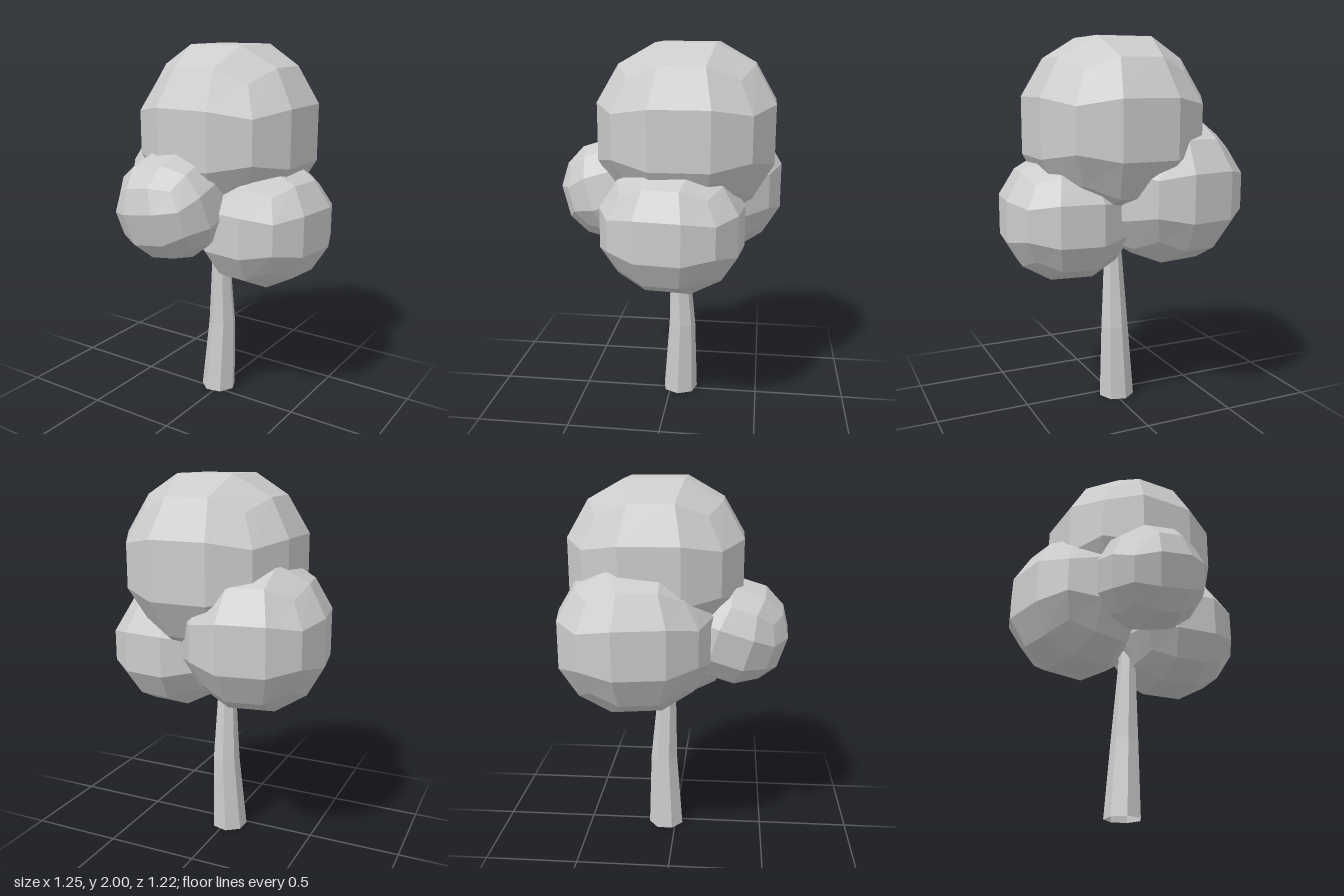
import * as THREE from 'three';

const material = () => new THREE.MeshStandardMaterial({ color: 0xcccccc, flatShading: true });

// Faceted foliage ball: a 3x3x3 box pushed out onto a sphere, then scaled and turned
function foliage(name, center, radii, rotation = [0, 0, 0]) {
  const geometry = new THREE.BoxGeometry(2, 2, 2, 3, 3, 3);
  const pos = geometry.attributes.position;
  const v = new THREE.Vector3();
  for (let i = 0; i < pos.count; i++) {
    v.fromBufferAttribute(pos, i);
    // the eight corners sit slightly lower so that their quads stay nearly flat
    v.setLength(v.length() > 1.7 ? 0.955 : 1);
    pos.setXYZ(i, v.x, v.y, v.z);
  }
  geometry.computeVertexNormals();
  const mesh = new THREE.Mesh(geometry, material());
  mesh.name = name;
  mesh.position.set(...center);
  mesh.scale.set(...radii);
  mesh.rotation.set(...rotation);
  return mesh;
}

// Open seven-sided trunk that tapers and bends slightly; rings are [y, x, z, radius]
function trunk() {
  const rings = [
    [0, -0.019, -0.054, 0.1],
    [0.42, -0.002, -0.065, 0.077],
    [0.85, 0, -0.047, 0.05],
    [1.3, 0.005, -0.05, 0.045],
  ];
  const last = rings.length - 1;
  const geometry = new THREE.CylinderGeometry(1, 1, last, 7, last, true, -0.262);
  const pos = geometry.attributes.position;
  for (let i = 0; i < pos.count; i++) {
    const [y, x, z, r] = rings[Math.round(pos.getY(i) + last / 2)];
    pos.setXYZ(i, x + pos.getX(i) * r, y, z + pos.getZ(i) * r);
  }
  geometry.computeVertexNormals();
  const mesh = new THREE.Mesh(geometry, material());
  mesh.material.side = THREE.DoubleSide;
  mesh.name = 'trunk';
  return mesh;
}

export function createModel() {
  const tree = new THREE.Group();
  tree.name = 'tree';
  tree.add(
    trunk(),
    foliage('topFoliage', [0.027, 1.548, -0.097], [0.5, 0.5, 0.51]),
    foliage('leftFoliage', [0.277, 1.075, -0.045], [0.372, 0.357, 0.4], [0, -0.12, 0]),
    foliage('rightFoliage', [-0.243, 1.205, -0.195], [0.403, 0.412, 0.435], [0, 0.18, 0]),
    foliage('frontFoliage', [-0.06, 1.2, 0.32], [0.3, 0.292, 0.303], [0.3, 0, 0.15]),
  );
  return tree;
}
